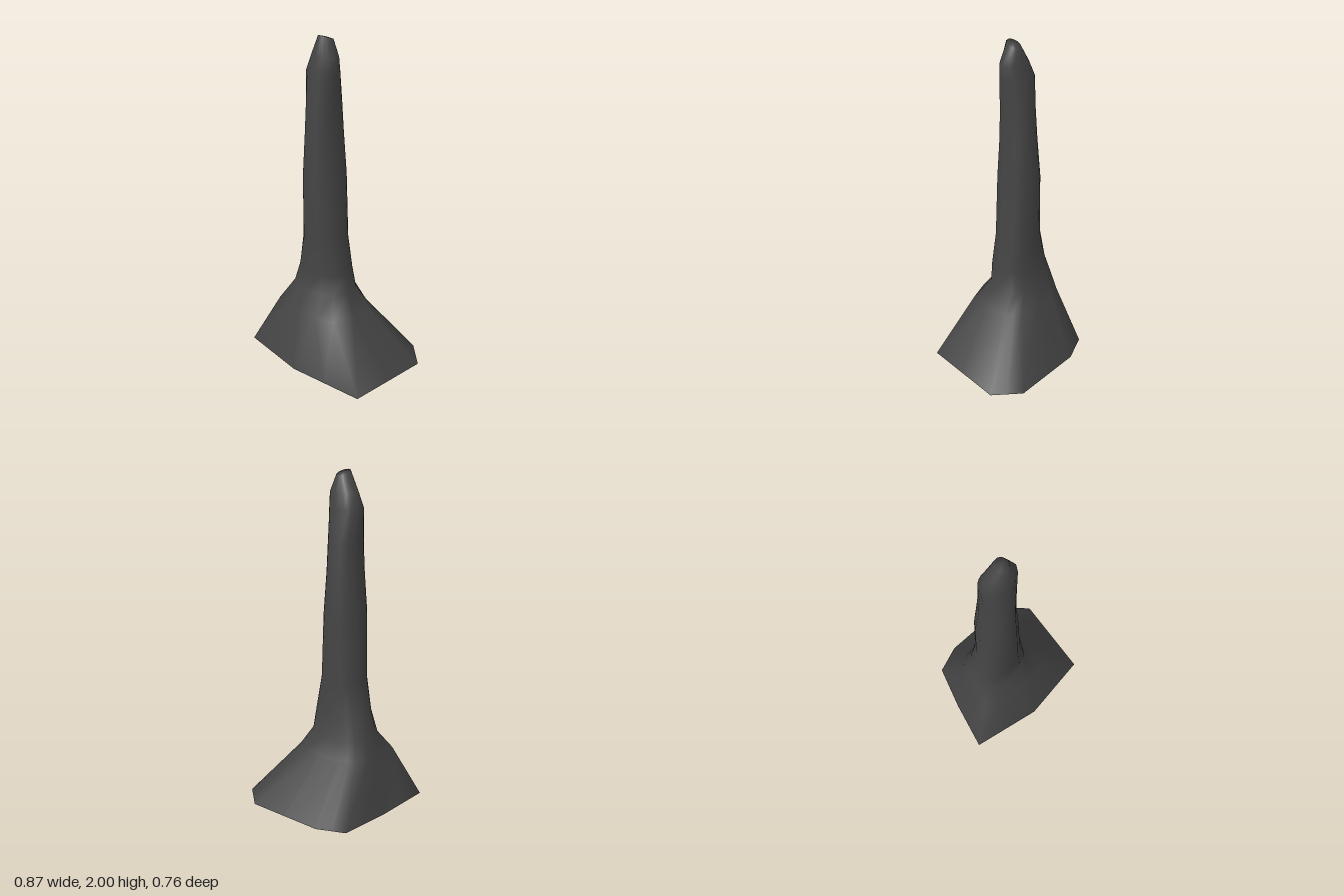
import * as THREE from 'three';

// Uneven foot outline, counterclockwise from above: x, y, z
const FOOT = [
  [-0.435, 0.05, 0.355], [0, 0.05, 0.378], [0.43, 0.01, 0.255], [0.415, 0.01, -0.26],
  [0.26, 0.015, -0.38], [-0.19, 0, -0.32], [-0.35, 0, -0.235], [-0.4, 0.02, 0.045],
];

// Rings up the stalk: height, min x, max x, min z, max z, share of the foot's angular shape
const RINGS = [
  [0.36, -0.335, 0.18, -0.16, 0.28, 0.5],
  [0.48, -0.295, 0.105, -0.115, 0.195, 0.2],
  [0.61, -0.255, 0.1, -0.085, 0.185, 0.05],
  [0.81, -0.21, 0.06, -0.075, 0.185, 0],
  [1.2, -0.2, 0.04, -0.075, 0.185, 0],
  [1.45, -0.175, 0.02, -0.06, 0.175, 0],
  [1.62, -0.17, 0.02, -0.045, 0.165, 0],
  [1.8, -0.178, 0.028, -0.02, 0.148, 0],
  [1.88, -0.145, 0.032, 0, 0.133, 0],
  [1.985, -0.085, -0.015, 0.02, 0.11, 0],
];

export function createModel() {
  const charcoal = new THREE.MeshStandardMaterial({ color: 0x444444, side: THREE.DoubleSide });
  charcoal.name = 'charcoal';

  // Foot rim with a midpoint on each edge
  const rim = FOOT.flatMap((p, i) => {
    const q = FOOT[(i + 1) % FOOT.length];
    return [p, p.map((v, k) => (v + q[k]) / 2)];
  });
  const n = rim.length;
  const positions = rim.flat();

  // Each ring blends from the foot's shape into an ellipse
  RINGS.forEach(([y, x0, x1, z0, z1, blend], r) => {
    for (const [px, , pz] of rim) {
      const u = px / 0.433, v = pz / 0.379, len = Math.hypot(u, v);
      const s = THREE.MathUtils.lerp(1 / len, 1, blend);
      const tilt = r === RINGS.length - 1 ? 0.015 * v / len : 0;
      positions.push(
        (x0 + x1) / 2 + u * s * (x1 - x0) / 2,
        y + tilt,
        (z0 + z1) / 2 + v * s * (z1 - z0) / 2,
      );
    }
  });

  // Skin between the rings, leaving the foot open underneath
  const index = [];
  for (let r = 0; r < RINGS.length; r++) {
    for (let i = 0; i < n; i++) {
      const a = r * n + i, b = r * n + (i + 1) % n;
      index.push(a, b, b + n, a, b + n, a + n);
    }
  }

  // Blunt tip
  const tip = positions.length / 3, last = RINGS.length * n;
  positions.push(-0.05, 1.988, 0.065);
  for (let i = 0; i < n; i++) index.push(last + i, last + (i + 1) % n, tip);

  const geometry = new THREE.BufferGeometry();
  geometry.setAttribute('position', new THREE.Float32BufferAttribute(positions, 3));
  geometry.setIndex(index);
  geometry.computeVertexNormals();

  const spire = new THREE.Mesh(geometry, charcoal);
  spire.name = 'flaredSpire';
  const group = new THREE.Group();
  group.name = 'spire';
  group.add(spire);
  return group;
}
